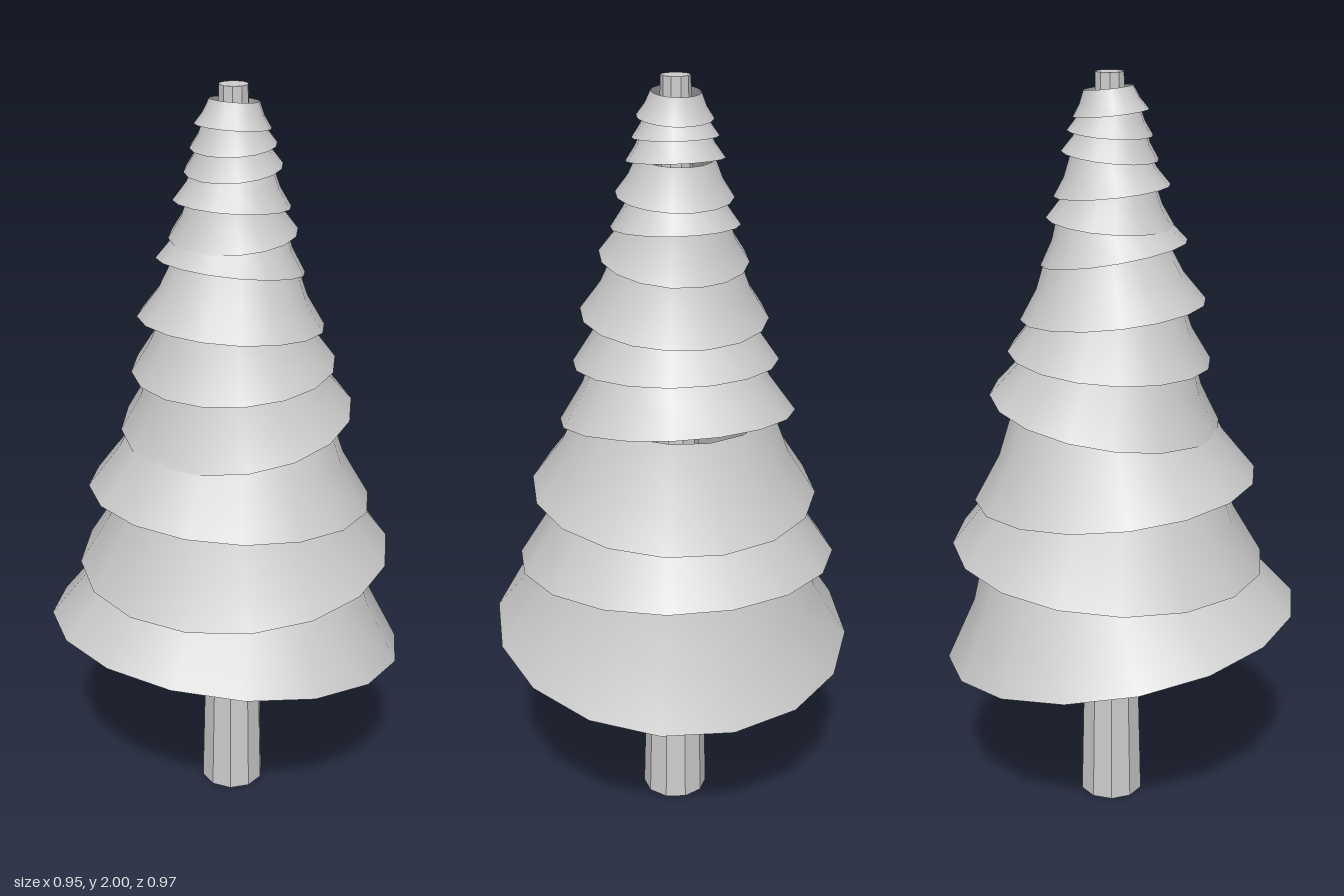
import * as THREE from 'three';

// Left and right ends of each tier's lower rim: [xLeft, yLeft, xRight, yRight]
const TIERS = [
  [-0.48, 0.6, 0.47, 0.43],
  [-0.39, 0.71, 0.45, 0.77],
  [-0.365, 0.965, 0.385, 0.89],
  [-0.265, 1.09, 0.34, 1.185],
  [-0.24, 1.265, 0.29, 1.3],
  [-0.225, 1.43, 0.255, 1.38],
  [-0.175, 1.585, 0.2, 1.52],
  [-0.14, 1.62, 0.185, 1.645],
  [-0.13, 1.725, 0.165, 1.695],
  [-0.1, 1.785, 0.145, 1.81],
  [-0.085, 1.845, 0.13, 1.86],
  [-0.075, 1.91, 0.115, 1.89],
];

// Flared, open skirt with a rim radius of 1
const SKIRT = [[1, 0], [0.79, 0.31], [0.65, 0.65]].map(([r, y]) => new THREE.Vector2(r, y));

export function createModel() {
  const tree = new THREE.Group();
  tree.name = 'tree';

  const bark = new THREE.MeshStandardMaterial({ color: 0xcccccc, flatShading: true });
  bark.name = 'grey';
  const foliage = new THREE.MeshStandardMaterial({ color: 0xcccccc, side: THREE.DoubleSide });
  foliage.name = 'grey foliage';

  // Tapered ten-sided trunk running through every tier
  const trunk = new THREE.Mesh(new THREE.CylinderGeometry(0.037, 0.088, 2, 10), bark);
  trunk.name = 'trunk';
  trunk.rotation.y = Math.PI / 2;
  trunk.position.set(0.023, 1, 0);
  tree.add(trunk);

  // Tilted skirts of foliage, shrinking towards the top
  const skirt = new THREE.LatheGeometry(SKIRT, 16);
  TIERS.forEach(([x0, y0, x1, y1], i) => {
    const tier = new THREE.Mesh(skirt, foliage);
    tier.name = `foliageTier${i + 1}`;
    tier.scale.setScalar(Math.hypot(x1 - x0, y1 - y0) / 2);
    tier.rotation.z = Math.atan2(y1 - y0, x1 - x0);
    tier.position.set((x0 + x1) / 2, (y0 + y1) / 2, 0);
    tree.add(tier);
  });

  return tree;
}
